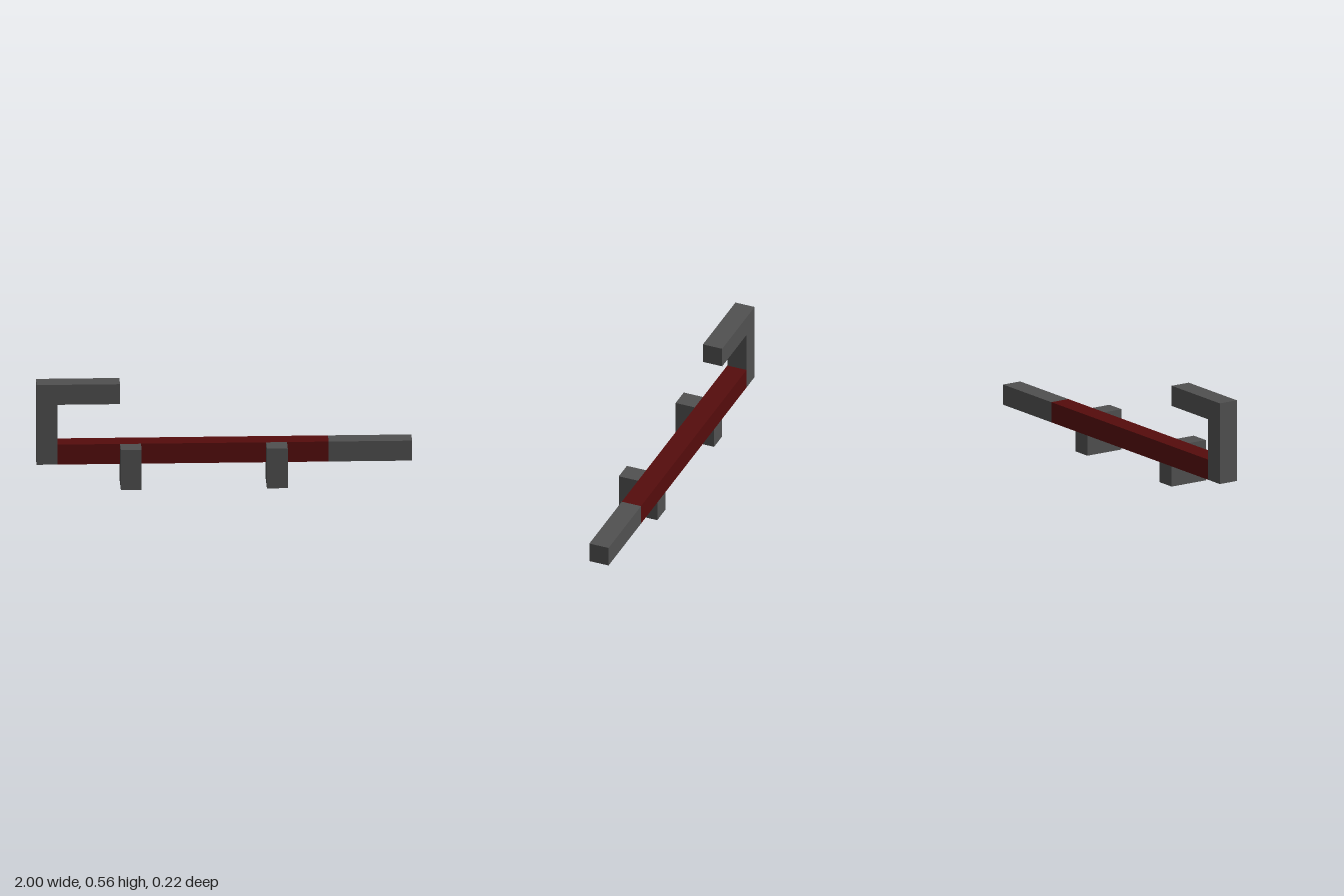
import * as THREE from 'three';

const U = 1 / 9; // thickness of every bar

export function createModel() {
  const model = new THREE.Group();
  const grey = new THREE.MeshStandardMaterial({ color: 0x505050 });
  grey.name = 'dark grey';
  const red = new THREE.MeshStandardMaterial({ color: 0x550c0c });
  red.name = 'dark red';

  const add = (name, geometry, material) => {
    const mesh = new THREE.Mesh(geometry, material);
    mesh.name = name;
    model.add(mesh);
    return mesh;
  };
  // Square-edged prism from an outline given in units of U
  const prism = (points) => new THREE.ExtrudeGeometry(
    new THREE.Shape(points.map(([a, b]) => new THREE.Vector2(a * U, b * U))),
    { depth: U, bevelEnabled: false });
  // Length of the main bar between two x positions
  const bar = (x0, x1) => new THREE.BoxGeometry((x1 - x0) * U, U, U)
    .translate((x0 + x1) / 2 * U, 1.5 * U, -U / 2);

  // Main bar: red centre and grey tip
  add('redBar', bar(-8, 5), red);
  add('greyTip', bar(5, 9), grey);

  // Hook rising from the end and turning back over the bar
  add('hook', prism([[-9, 1], [-8, 1], [-8, 4], [-5, 4], [-5, 5], [-9, 5]]), grey)
    .position.z = -U;

  // L-shaped brackets passing under the bar and up its front
  for (const [name, x] of [['rightBracket', -4], ['leftBracket', 3]]) {
    const geometry = prism([[-1, 0], [1, 0], [1, 2], [0, 2], [0, 1], [-1, 1]])
      .rotateY(-Math.PI / 2);
    add(name, geometry, grey).position.x = x * U;
  }
  return model;
}
